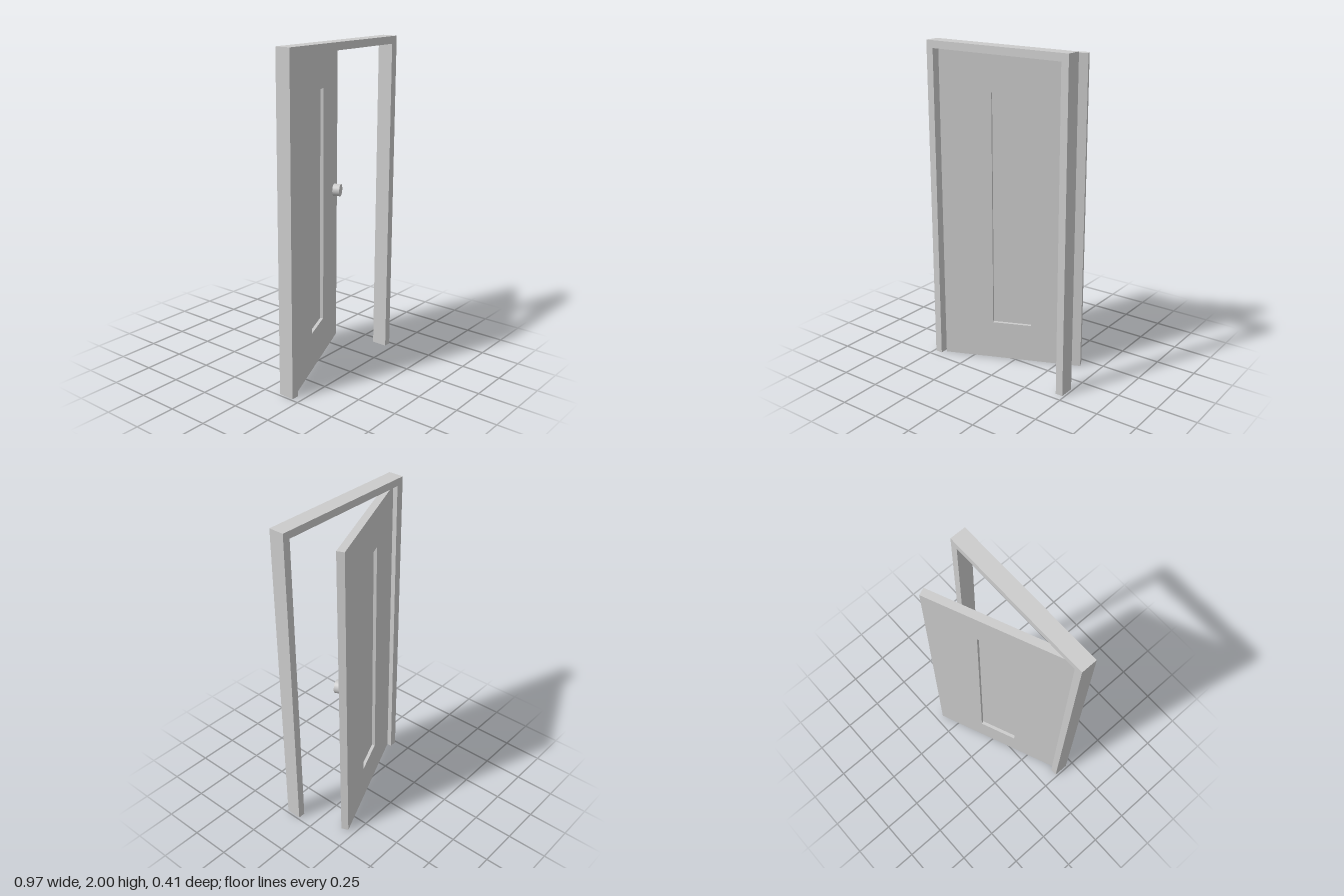
import * as THREE from 'three';

const W = 0.873, TOP = 1.953, BASE = 0.003, THICK = 0.046;

function rectPath(target, x0, y0, x1, y1) {
  target.moveTo(x0, y0);
  target.lineTo(x1, y0);
  target.lineTo(x1, y1);
  target.lineTo(x0, y1);
  target.closePath();
  return target;
}

export function createModel() {
  const root = new THREE.Group();
  root.name = 'openDoor';
  const material = new THREE.MeshStandardMaterial({ color: 0xcccccc });

  const add = (parent, name, geometry, x = 0, y = 0, z = 0) => {
    const mesh = new THREE.Mesh(geometry, material);
    mesh.name = name;
    mesh.position.set(x, y, z);
    parent.add(mesh);
    return mesh;
  };
  const extrude = (shape, depth) =>
    new THREE.ExtrudeGeometry(shape, { depth, bevelEnabled: false });

  // Door frame: two posts and a lintel in one piece
  const outline = new THREE.Shape([
    [-0.487, 0], [-0.441, 0], [-0.441, 1.955], [0.441, 1.955],
    [0.441, 0], [0.487, 0], [0.487, 2], [-0.487, 2],
  ].map(([x, y]) => new THREE.Vector2(x, y)));
  add(root, 'frame', extrude(outline, 0.097), 0, 0, 0.106);

  // Door leaf group, swung open about its hinge edge
  const door = new THREE.Group();
  door.name = 'door';
  door.position.set(-0.438, 0, 0.135);
  door.rotation.y = 0.4;
  root.add(door);

  // Leaf with a tall opening
  const px0 = 0.313, px1 = 0.557, py0 = 0.245, py1 = 1.71;
  const leaf = rectPath(new THREE.Shape(), 0, BASE, W, TOP);
  leaf.holes.push(rectPath(new THREE.Path(), px0, py0, px1, py1));
  add(door, 'leaf', extrude(leaf, THICK));

  // Thin panel recessed on both sides
  add(door, 'panel', new THREE.BoxGeometry(px1 - px0, py1 - py0, 0.006),
    (px0 + px1) / 2, (py0 + py1) / 2, THICK / 2);

  // Round knob on the front side
  const knob = add(door, 'knob', new THREE.CylinderGeometry(0.039, 0.039, 0.045, 32),
    0.774, 1.035, 0.0755);
  knob.rotation.x = Math.PI / 2;

  return root;
}
